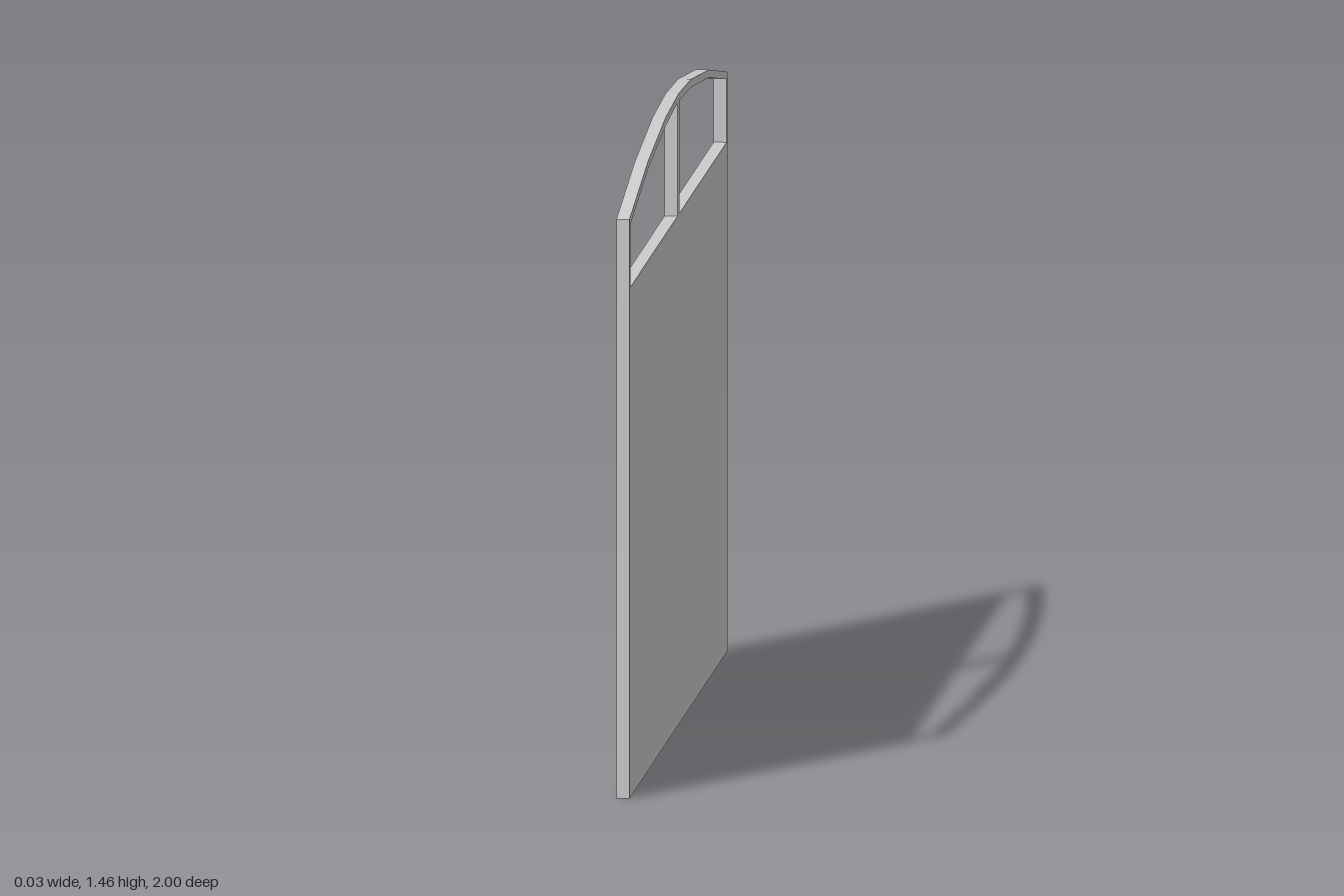
import * as THREE from 'three';

const THICKNESS = 0.03;
const PANEL_TOP = 1.18;
const POST = 0.018; // half width of the centre post
const JAMB = 0.982; // inner face of the end posts

// Arch from the end towards the crown, as [z, y]
const outerArch = [[1, 1.34], [0.62, 1.41], [0.26, 1.45], [0, 1.46]];
const innerArch = [[JAMB, 1.326], [0.62, 1.392], [0.26, 1.431], [POST, 1.443]];

const toPoints = (list) => list.map(([z, y]) => new THREE.Vector2(z, y));
const mirror = (list) => list.map(([z, y]) => [-z, y]);

export function createModel() {
  const group = new THREE.Group();
  group.name = 'archedPanel';

  // Solid panel, posts and arched top rail in one outline
  const outline = [[-1, 0], [1, 0], ...outerArch, ...mirror(outerArch.slice(0, -1)).reverse()];
  const shape = new THREE.Shape(toPoints(outline));

  // One opening on each side of the centre post
  const opening = [[POST, PANEL_TOP], [JAMB, PANEL_TOP], ...innerArch];
  for (const hole of [opening, mirror(opening)]) {
    shape.holes.push(new THREE.Path(toPoints(hole)));
  }

  // Extrude, centre the thickness and turn the outline into the z-y plane
  const geometry = new THREE.ExtrudeGeometry(shape, { depth: THICKNESS, bevelEnabled: false });
  geometry.translate(0, 0, -THICKNESS / 2);
  geometry.rotateY(-Math.PI / 2);

  const panel = new THREE.Mesh(
    geometry,
    new THREE.MeshStandardMaterial({ color: 0xcccccc, flatShading: true })
  );
  panel.name = 'panelWithArchedFrame';
  group.add(panel);
  return group;
}
